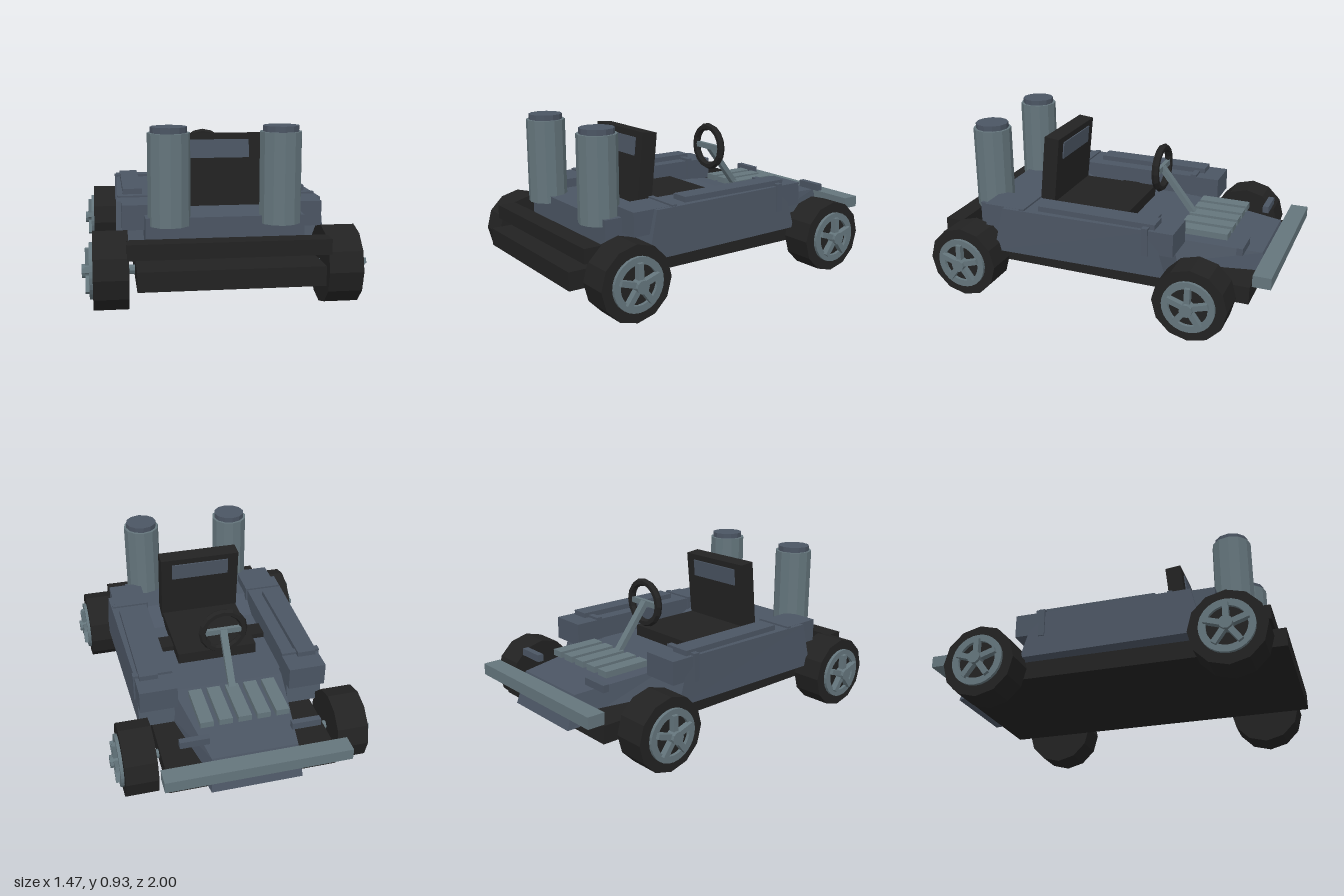
import * as THREE from 'three';

const mat = (name, color) => {
  const m = new THREE.MeshStandardMaterial({ color, flatShading: true });
  m.name = name;
  return m;
};

export function createModel() {
  const black = mat('black', 0x222222);
  const slate = mat('slate', 0x4b5563);
  const steel = mat('steel', 0x64757c);
  const kart = new THREE.Group();
  kart.name = 'kart';

  const add = (name, geo, material, parent = kart) => {
    const mesh = new THREE.Mesh(geo, material);
    mesh.name = name;
    parent.add(mesh);
    return mesh;
  };
  // Box given by its limits on each axis
  const box = (name, material, [x0, x1], [y0, y1], [z0, z1], parent) => {
    const g = new THREE.BoxGeometry(Math.abs(x1 - x0), y1 - y0, z1 - z0);
    g.translate((x0 + x1) / 2, (y0 + y1) / 2, (z0 + z1) / 2);
    return add(name, g, material, parent);
  };
  // Four-cornered sections, back (+z) to nose (-z), joined into a closed solid
  const loft = (sections) => {
    const rings = sections.map(({ top, bottom }) => {
      const [ta, tb, ty, tz] = top, [ba, bb, by, bz] = bottom;
      return [
        [Math.min(ba, bb), by, bz], [Math.max(ba, bb), by, bz],
        [Math.max(ta, tb), ty, tz], [Math.min(ta, tb), ty, tz],
      ];
    });
    const p = [];
    const quad = (a, b, c, d) => [a, b, c, a, c, d].forEach((v) => p.push(...v));
    for (let i = 0; i < rings.length - 1; i++) {
      for (let j = 0; j < 4; j++) {
        const k = (j + 1) % 4, r = rings[i], n = rings[i + 1];
        quad(r[j], n[j], n[k], r[k]);
      }
    }
    const last = rings[rings.length - 1];
    quad(...rings[0]);
    quad(last[3], last[2], last[1], last[0]);
    const g = new THREE.BufferGeometry();
    g.setAttribute('position', new THREE.Float32BufferAttribute(p, 3));
    g.computeVertexNormals();
    return g;
  };
  // Cylinder lying along x
  const xCylinder = (r, x0, x1, sides) =>
    new THREE.CylinderGeometry(r, r, x1 - x0, sides).rotateZ(-Math.PI / 2).translate((x0 + x1) / 2, 0, 0);

  // Chassis and bumpers
  box('floorPan', black, [-0.465, 0.465], [0.16, 0.26], [-0.88, 1.0]);
  box('rearBumper', black, [-0.51, 0.51], [0.3, 0.38], [0.83, 0.935]);
  box('noseBumper', steel, [-0.505, 0.505], [0.29, 0.355], [-1.0, -0.9]);

  // Body tub with a raised rear deck and a tapering nose
  const section = (wt, yt, zt, wb, yb, zb) => ({ top: [-wt, wt, yt, zt], bottom: [-wb, wb, yb, zb] });
  add('body', loft([
    section(0.41, 0.47, 0.755, 0.41, 0.26, 0.755),
    section(0.41, 0.47, 0.45, 0.41, 0.26, 0.45),
    section(0.41, 0.4, 0.3, 0.41, 0.26, 0.3),
    section(0.32, 0.4, -0.34, 0.36, 0.25, -0.34),
    section(0.235, 0.36, -0.89, 0.25, 0.18, -0.95),
  ]), slate);

  // Side pods, mirrored
  for (const s of [1, -1]) {
    const pod = new THREE.Group();
    pod.name = s > 0 ? 'leftPod' : 'rightPod';
    kart.add(pod);
    const x = (a, b) => [s * a, s * b];
    add('podShell', loft([
      { top: [...x(0.33, 0.55), 0.52, 0.53], bottom: [...x(0.33, 0.56), 0.26, 0.59] },
      { top: [...x(0.33, 0.53), 0.52, -0.36], bottom: [...x(0.33, 0.535), 0.26, -0.44] },
    ]), slate, pod);
    box('podRearBlock', slate, x(0.325, 0.525), [0.39, 0.521], [0.42, 0.655], pod);
    box('podNoseBlock', slate, x(0.32, 0.532), [0.39, 0.521], [-0.475, -0.33], pod);
    box('podRail', slate, x(0.405, 0.51), [0.51, 0.55], [-0.365, 0.325], pod);
    box('podRearBand', slate, x(0.32, 0.542), [0.4, 0.53], [0.4, 0.43], pod);
    box('podNoseBand', slate, x(0.32, 0.542), [0.375, 0.535], [-0.335, -0.3], pod);
    box('noseTab', slate, x(0.225, 0.385), [0.395, 0.435], [-0.815, -0.78], pod);

    // Upright tank with its cap
    const tank = new THREE.Group();
    tank.name = s > 0 ? 'leftTank' : 'rightTank';
    tank.position.set(s * 0.287, 0, 0.72);
    kart.add(tank);
    add('tankBody', new THREE.CylinderGeometry(0.109, 0.109, 0.47, 12).translate(0, 0.665, 0), steel, tank);
    add('tankCap', new THREE.CylinderGeometry(0.094, 0.094, 0.03, 12).translate(0, 0.915, 0), slate, tank);
  }

  // Bonnet slats
  for (let i = -2; i <= 2; i++) {
    const c = i * 0.1055;
    box('bonnetSlat', steel, [c - 0.037, c + 0.037], [0.405, 0.44], [-0.695, -0.41]);
  }

  // Seat
  box('seatCushion', black, [-0.235, 0.235], [0.37, 0.465], [-0.1, 0.36]);
  box('seatCrossbar', black, [-0.33, 0.33], [0.38, 0.43], [0.04, 0.15]);
  const back = new THREE.Group();
  back.name = 'seatBack';
  back.position.set(0, 0.44, 0.405);
  back.rotation.x = -0.1;
  kart.add(back);
  box('backrest', black, [-0.24, 0.24], [0, 0.42], [-0.045, 0.045], back);
  box('headPanel', slate, [-0.175, 0.175], [0.285, 0.385], [-0.052, 0.052], back);

  // Steering
  const steering = new THREE.Group();
  steering.name = 'steering';
  steering.position.set(0, 0.68, -0.225);
  kart.add(steering);
  add('steeringWheel', new THREE.TorusGeometry(0.12, 0.022, 6, 16), black, steering);
  box('wheelBar', steel, [-0.11, 0.11], [-0.016, 0.016], [-0.012, 0.012], steering);
  const column = add('steeringColumn', new THREE.BoxGeometry(0.04, 0.34, 0.03), steel, steering);
  column.position.set(0, -0.13, -0.105);
  column.rotation.x = Math.atan2(0.18, 0.23);

  // Axles and wheels
  const rimShape = new THREE.Shape().absarc(0, 0, 0.145, 0, Math.PI * 2);
  rimShape.holes.push(new THREE.Path().absarc(0, 0, 0.107, 0, Math.PI * 2, true));
  const rim = new THREE.ExtrudeGeometry(rimShape, { depth: 0.03, bevelEnabled: false, curveSegments: 14 });
  rim.rotateY(Math.PI / 2).translate(0.665, 0, 0);
  for (const [end, z] of [['rear', 0.735], ['nose', -0.615]]) {
    add(end + 'Axle', xCylinder(0.025, -0.52, 0.52, 8), steel).position.set(0, 0.205, z);
    for (const s of [1, -1]) {
      const wheel = new THREE.Group();
      wheel.name = end + (s > 0 ? 'LeftWheel' : 'RightWheel');
      wheel.position.set(0, 0.205, z);
      wheel.rotation.y = s > 0 ? 0 : Math.PI;
      kart.add(wheel);
      add('tyre', xCylinder(0.205, 0.5, 0.677, 12), black, wheel);
      add('rim', rim, steel, wheel);
      add('hub', xCylinder(0.036, 0.66, 0.733, 10), steel, wheel);
      for (let i = 0; i < 5; i++) {
        const spoke = new THREE.BoxGeometry(0.035, 0.115, 0.03).translate(0.698, 0.06, 0);
        add('spoke', spoke.rotateX((i * Math.PI * 2) / 5), steel, wheel);
      }
    }
  }
  return kart;
}
